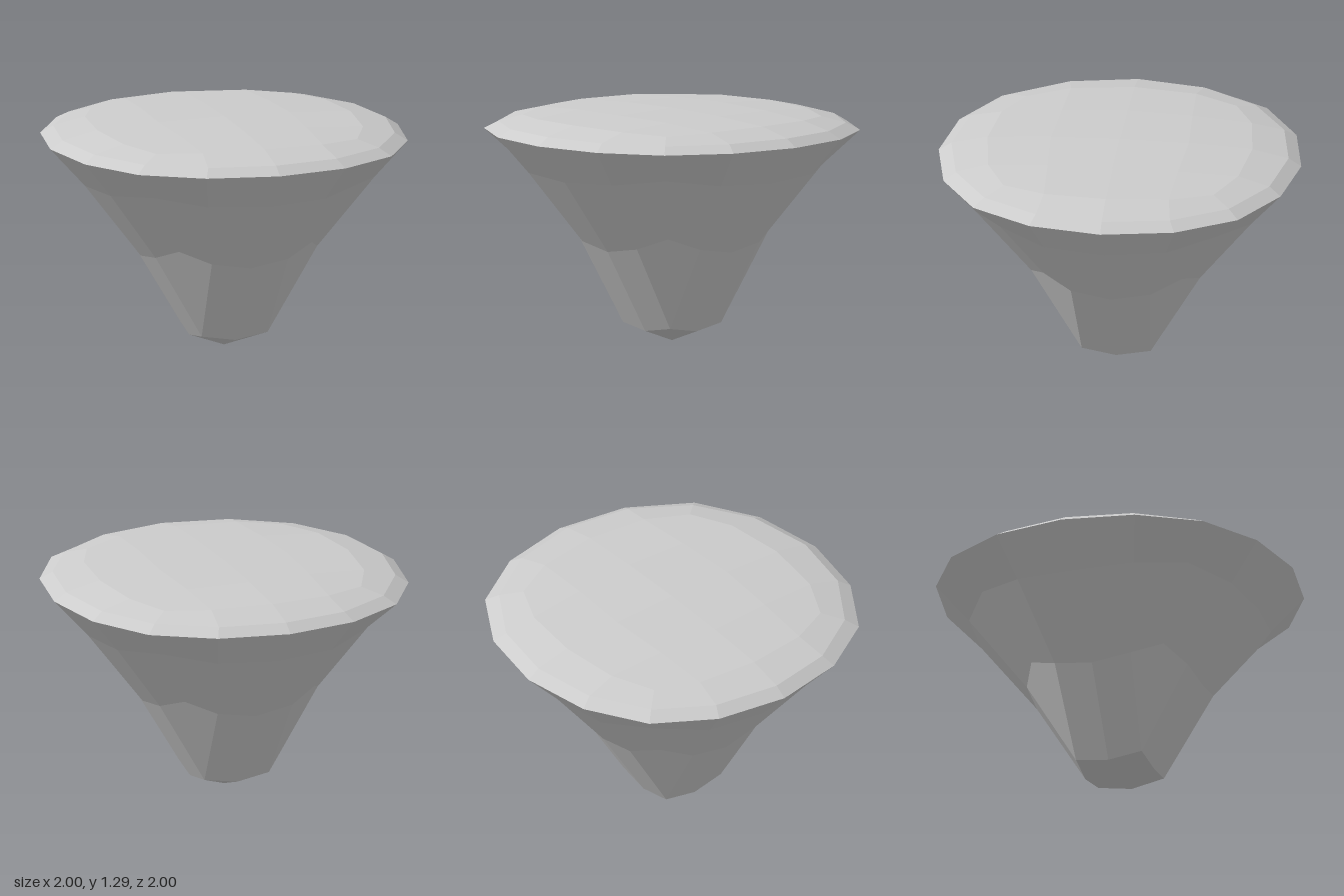
import * as THREE from 'three';

// Quarter turn about y, taking +z to +x
const turn = ([x, y, z], n) => (n % 4 === 0 ? [x, y, z] : turn([z, y, -x], (n % 4) - 1));

// 16-sided ring: axis point (radius r), intermediate point (a, b) and diagonal point (c, c)
function ring([r, ry], [a, b, my], [c, cy]) {
  const quarter = [[0, ry, r], [a, my, b], [c, cy, c], [b, my, a]];
  return Array.from({ length: 16 }, (_, k) => turn(quarter[k % 4], Math.floor(k / 4)));
}

// Band of quads between a lower and an upper ring
function band(lower, upper) {
  return lower.map((p, k) => {
    const n = (k + 1) % 16;
    return [p, lower[n], upper[n], upper[k]];
  });
}

// Closes a ring with a 4 x 4 grid of quads
function cap(outer, axisPoint, diagonalPoint, centre, flip = false) {
  const quads = [];
  for (let i = 0; i < 4; i++) {
    const o = (k) => outer[(4 * i + k) % 16];
    const e = turn(axisPoint, i), next = turn(axisPoint, i + 1), d = turn(diagonalPoint, i);
    quads.push([o(0), o(1), d, e], [o(1), o(2), o(3), d], [d, o(3), o(4), next], [e, d, next, centre]);
  }
  return flip ? quads.map((q) => q.reverse()) : quads;
}

// Faceted mesh with one normal for each quad
function quadMesh(name, quads) {
  const positions = [], normals = [];
  for (const q of quads) {
    const [a, b, c, d] = q.map((p) => new THREE.Vector3(...p));
    const n = c.clone().sub(a).cross(d.clone().sub(b)).normalize();
    for (const p of [a, b, c, a, c, d]) {
      positions.push(p.x, p.y, p.z);
      normals.push(n.x, n.y, n.z);
    }
  }
  const geometry = new THREE.BufferGeometry();
  geometry.setAttribute('position', new THREE.Float32BufferAttribute(positions, 3));
  geometry.setAttribute('normal', new THREE.Float32BufferAttribute(normals, 3));
  const mesh = new THREE.Mesh(geometry, new THREE.MeshStandardMaterial({ color: 0xcccccc }));
  mesh.name = name;
  return mesh;
}

export function createModel() {
  const group = new THREE.Group();
  group.name = 'flaredKnob';

  const waist = ring([0.48, 0.535], [0.22, 0.465, 0.57], [0.383, 0.635]);
  const shoulder = ring([0.8, 0.95], [0.335, 0.76, 0.965], [0.595, 1.0]);
  const rim = ring([1, 1.17], [0.4, 0.93, 1.17], [0.73, 1.17]);
  const bevel = ring([0.93, 1.215], [0.37, 0.865, 1.213], [0.675, 1.21]);
  const domeEdge = ring([0.73, 1.26], [0.345, 0.69, 1.255], [0.58, 1.245]);

  // Tapering stem with its blunt pointed tip
  group.add(quadMesh('stem', cap(waist, [0, 0.07, 0.2], [0.19, 0.1, 0.19], [0, 0, 0], true)));
  // Flared sides up to the rim
  group.add(quadMesh('flare', [...band(waist, shoulder), ...band(shoulder, rim)]));
  // Shallow domed top with a bevelled edge
  group.add(quadMesh('top', [
    ...band(rim, bevel),
    ...band(bevel, domeEdge),
    ...cap(domeEdge, [0, 1.28, 0.38], [0.36, 1.275, 0.36], [0, 1.287, 0]),
  ]));
  return group;
}
